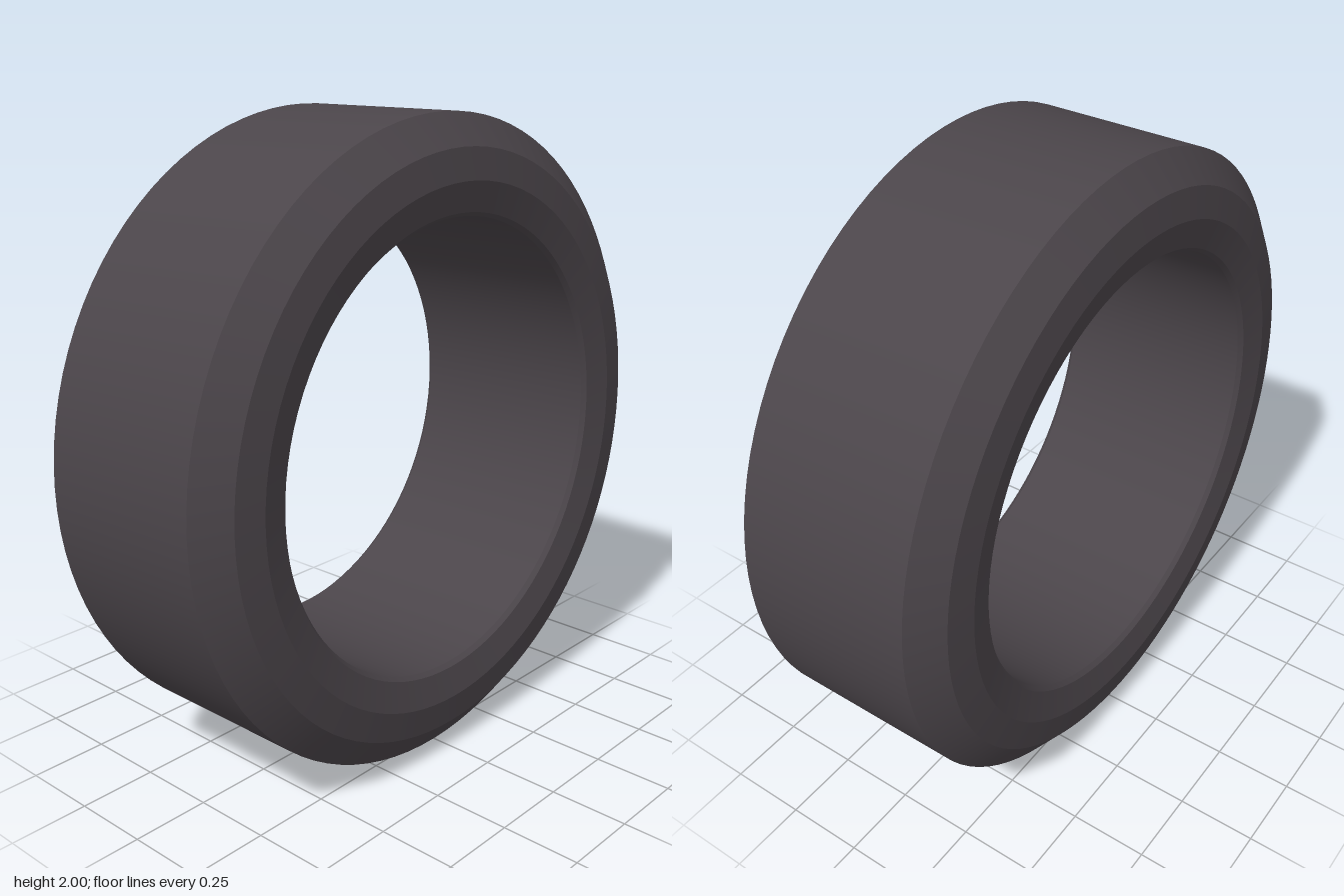
import * as THREE from 'three';
import { toCreasedNormals } from 'three/addons/utils/BufferGeometryUtils.js';

export function createModel() {
  const group = new THREE.Group();
  group.name = 'tire';

  const rubber = new THREE.MeshStandardMaterial({ color: 0x4b454a });
  rubber.name = 'dark rubber';

  // Half cross-section as (radius, offset along the axle), tread to bead
  const half = [
    [1.0, 0.28],
    [0.905, 0.353],
    [0.81, 0.367],
    [0.718, 0.345],
    [0.706, 0.33],
  ];
  const mirrored = half.map(([r, a]) => [r, -a]).reverse();

  // Closed ring profile: tread, one sidewall, inner bore, other sidewall
  const profile = [...half, ...mirrored, half[0]];
  // Start at the lower tread edge so that the tread runs upward
  const points = [mirrored[mirrored.length - 1], ...profile.slice(0, -1)]
    .map(([r, a]) => new THREE.Vector2(r, a));

  // Smooth around the axle, sharp across the profile bands
  const geometry = toCreasedNormals(new THREE.LatheGeometry(points, 96), 0.1);
  geometry.rotateZ(-Math.PI / 2);
  geometry.translate(0, 1, 0);

  const tire = new THREE.Mesh(geometry, rubber);
  tire.name = 'tireRing';
  group.add(tire);
  return group;
}
